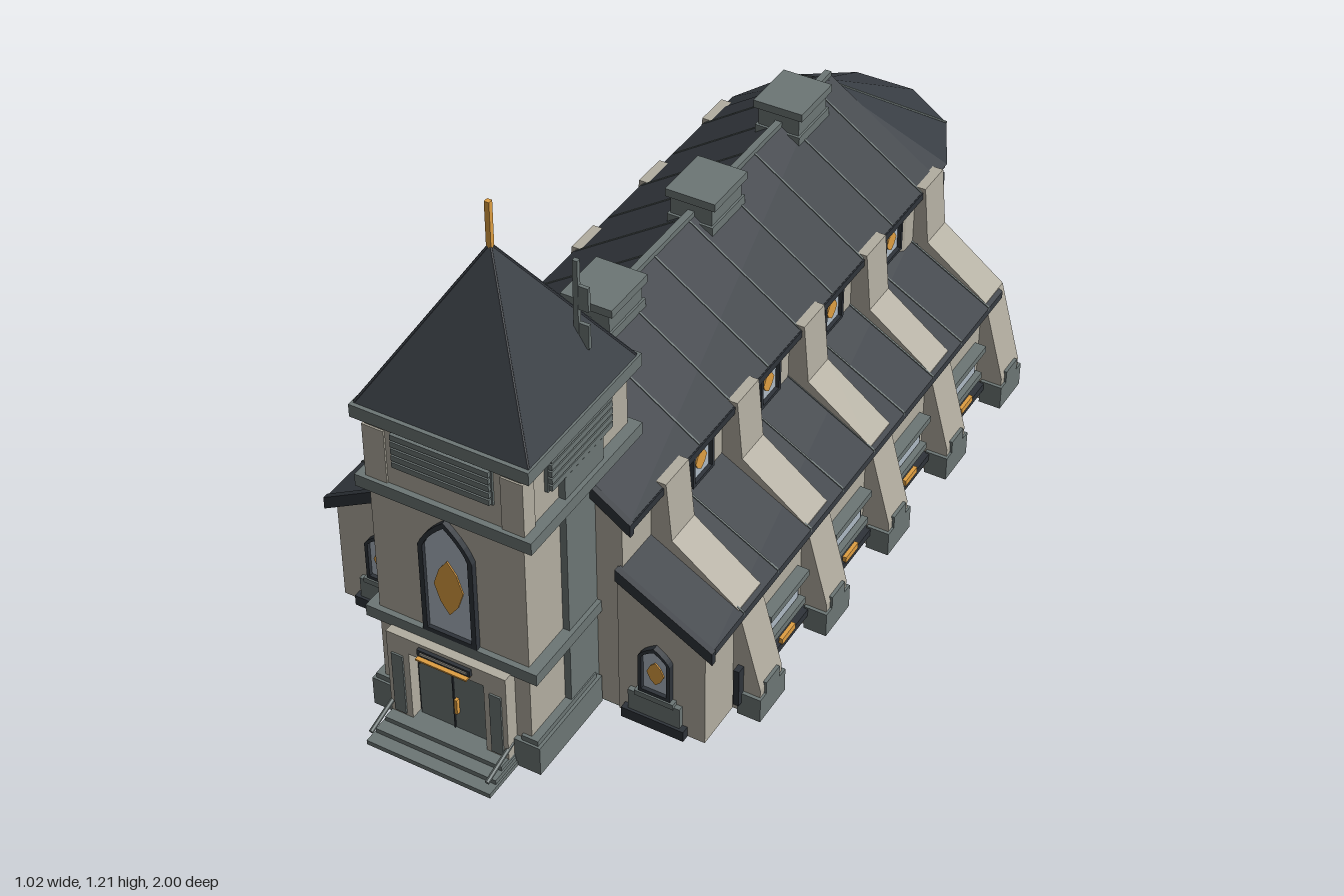
import * as THREE from 'three';

const mat = (name, color) => {
  const m = new THREE.MeshStandardMaterial({ color });
  m.name = name;
  return m;
};

export function createModel() {
  const stone = mat('pale stone', 0xb2ada0), grey = mat('grey stone', 0x6c7675);
  const slate = mat('slate', 0x383d43), dark = mat('dark trim', 0x2e3339);
  const glass = mat('glass', 0xaeb9c4), gold = mat('gold', 0xde9e42);
  const green = mat('green base', 0x2c8c6c);
  const church = new THREE.Group();
  church.name = 'church';

  // Helpers: faceted mesh, box by limits, prism along z, bar between points
  const add = (name, geo, m, parent = church) => {
    const g = geo.index ? geo.toNonIndexed() : geo;
    g.computeVertexNormals();
    const mesh = new THREE.Mesh(g, m);
    mesh.name = name;
    parent.add(mesh);
    return mesh;
  };
  const box = (name, m, x0, x1, y0, y1, z0, z1, parent) => {
    const g = new THREE.BoxGeometry(Math.abs(x1 - x0), y1 - y0, Math.abs(z1 - z0));
    return add(name, g.translate((x0 + x1) / 2, (y0 + y1) / 2, (z0 + z1) / 2), m, parent);
  };
  const prism = (name, m, pts, z0, z1, parent) => {
    const shape = new THREE.Shape(pts.map(([x, y]) => new THREE.Vector2(x, y)));
    const g = new THREE.ExtrudeGeometry(shape, { depth: z1 - z0, bevelEnabled: false });
    return add(name, g.translate(0, 0, z0), m, parent);
  };
  const bar = (name, m, a, b, r) => {
    const p = new THREE.Vector3(...a), q = new THREE.Vector3(...b);
    const mesh = add(name, new THREE.CylinderGeometry(r, r, p.distanceTo(q), 6), m);
    mesh.position.copy(p).add(q).multiplyScalar(0.5);
    mesh.quaternion.setFromUnitVectors(new THREE.Vector3(0, 1, 0), q.clone().sub(p).normalize());
  };

  // Pointed arch outline standing on y = 0
  const arch = (w, h, inset, Type) => {
    const x = w / 2 - inset, spring = h * 0.74, top = h - inset * 1.3;
    const s = new Type();
    s.moveTo(-x, inset);
    s.lineTo(x, inset);
    s.lineTo(x, spring);
    s.quadraticCurveTo(x * 0.75, spring + (top - spring) * 0.5, 0, top);
    s.quadraticCurveTo(-x * 0.75, spring + (top - spring) * 0.5, -x, spring);
    s.closePath();
    return s;
  };
  const archOpening = (name, w, h, x, y, z, turn, fill, t) => {
    const g = new THREE.Group();
    g.name = name;
    g.position.set(x, y, z);
    g.rotation.y = turn;
    church.add(g);
    const outer = arch(w, h, 0, THREE.Shape);
    outer.holes.push(arch(w, h, t, THREE.Path));
    add('frame', new THREE.ExtrudeGeometry(outer, { depth: 0.014, bevelEnabled: false, curveSegments: 5 }), dark, g);
    const pane = new THREE.ExtrudeGeometry(arch(w, h, t * 0.9, THREE.Shape),
      { depth: 0.005, bevelEnabled: false, curveSegments: 5 });
    add('pane', pane, fill, g);
    return g;
  };
  // Lancet window with a gold diamond
  const lancet = (w, h, x, y, z, turn, t = 0.008) => {
    const g = archOpening('lancetWindow', w, h, x, y, z, turn, glass, t);
    const c = h * 0.43, r = h * 0.23, e = w * 0.27;
    prism('goldDiamond', gold, [[0, c - r], [e * 0.6, c - r * 0.6], [e, c], [e * 0.6, c + r * 0.6],
      [0, c + r], [-e * 0.6, c + r * 0.6], [-e, c], [-e * 0.6, c - r * 0.6]], 0.003, 0.008, g);
  };

  // Green floor plates under nave, aisles and tower
  box('naveFloor', green, -0.238, 0.238, 0, 0.0015, -0.66, 0.655);
  box('towerFloor', green, -0.165, 0.165, 0, 0.0015, 0.67, 0.875);

  // Nave with gabled roof
  prism('nave', stone, [[-0.25, 0.001], [0.25, 0.001], [0.25, 0.525], [0, 0.69], [-0.25, 0.525]], -0.665, 0.655);
  box('ridge', grey, -0.008, 0.008, 0.7, 0.718, -0.67, 0.5);

  const bays = [0.355, 0.07, -0.215, -0.5];
  const buttresses = [0.5, 0.213, -0.075, -0.362, -0.648];
  for (const s of [1, -1]) {
    // Sloping roof slabs with raised seams
    const slab = (name, m, x0, y0, x1, y1, t, z0, z1) =>
      prism(name, m, [[s * x0, y0], [s * x1, y1], [s * x1, y1 - t], [s * x0, y0 - t]], z0, z1);
    slab('naveRoof', slate, 0, 0.711, 0.277, 0.523, 0.022, -0.672, 0.67);
    slab('aisleRoof', slate, 0.245, 0.391, 0.46, 0.27, 0.018, -0.672, 0.67);
    slab('naveVerge', dark, 0.15, 0.612, 0.28, 0.523, 0.03, 0.66, 0.674);
    slab('aisleVerge', dark, 0.243, 0.393, 0.463, 0.27, 0.03, 0.66, 0.674);
    for (let z = -0.6; z < 0.66; z += 0.1425) {
      if (z < 0.48) slab('roofSeam', grey, 0, 0.7135, 0.277, 0.5255, 0.01, z - 0.002, z + 0.002);
      slab('roofSeam', grey, 0.25, 0.391, 0.46, 0.2725, 0.01, z - 0.002, z + 0.002);
    }
    box('naveGutter', dark, s * 0.268, s * 0.28, 0.505, 0.522, -0.672, 0.67);

    // Side aisle
    box('aisleFloor', green, s * 0.256, s * 0.435, 0, 0.0015, -0.655, 0.655);
    prism('aisle', stone, [[s * 0.24, 0.001], [s * 0.44, 0.001], [s * 0.44, 0.264], [s * 0.24, 0.375]], -0.66, 0.66);

    // Stepped buttresses with grey feet
    for (const z of buttresses) {
      prism('buttress', stone, [[s * 0.24, 0.002], [s * 0.24, 0.533], [s * 0.285, 0.533], [s * 0.298, 0.392],
        [s * 0.45, 0.277], [s * 0.503, 0.08], [s * 0.503, 0.002]], z - 0.045, z + 0.045);
      box('buttressFoot', grey, s * 0.455, s * 0.508, 0, 0.06, z - 0.053, z + 0.053);
      box('buttressFootCap', grey, s * 0.455, s * 0.508, 0.06, 0.09, z - 0.028, z + 0.028);
    }
    box('cornerPost', dark, s * 0.452, s * 0.465, 0.035, 0.13, 0.546, 0.566);

    // Bays: clerestory lancet, aisle window and ledge
    for (const z of bays) {
      lancet(0.085, 0.108, s * 0.249, 0.4, z, s * Math.PI / 2);
      box('windowFrame', dark, s * 0.435, s * 0.45, 0.1, 0.162, z - 0.07, z + 0.07);
      box('windowGlass', glass, s * 0.449, s * 0.453, 0.108, 0.156, z - 0.062, z + 0.062);
      box('lintel', grey, s * 0.435, s * 0.468, 0.16, 0.176, z - 0.082, z + 0.082);
      box('sill', grey, s * 0.435, s * 0.465, 0.088, 0.104, z - 0.075, z + 0.075);
      box('ledge', dark, s * 0.435, s * 0.464, 0.038, 0.056, z - 0.098, z + 0.098);
      box('goldPlaque', gold, s * 0.458, s * 0.467, 0.054, 0.069, z - 0.028, z + 0.028);
    }

    // Aisle front window and planter
    lancet(0.074, 0.13, s * 0.33, 0.09, 0.66, 0);
    box('planter', grey, s * 0.268, s * 0.388, 0.025, 0.078, 0.655, 0.672);
    box('planterRim', grey, s * 0.285, s * 0.375, 0.075, 0.088, 0.655, 0.676);
    box('planterBase', dark, s * 0.255, s * 0.4, 0, 0.026, 0.655, 0.678);
  }

  // Ridge vents
  for (const z of [0.3, -0.115, -0.5]) {
    box('ventBase', grey, -0.055, 0.055, 0.66, 0.695, z - 0.07, z + 0.07);
    box('ventBody', grey, -0.05, 0.05, 0.695, 0.738, z - 0.064, z + 0.064);
    box('ventLid', grey, -0.06, 0.06, 0.738, 0.757, z - 0.07, z + 0.07);
  }

  // Twelve-sided apse with conical roof
  const cz = -0.645, rx = 0.27, rz = 0.325;
  const apse = (name, m, geo, kx, kz, y) =>
    add(name, geo.rotateY(Math.PI / 12).scale(kx, 1, kz).translate(0, y, cz), m);
  apse('apseFloor', green, new THREE.CylinderGeometry(1, 1, 0.0015, 12), rx - 0.008, rz - 0.008, 0.00075);
  apse('apseWall', stone, new THREE.CylinderGeometry(1, 1, 0.519, 12), rx, rz, 0.2605);
  apse('apseEave', dark, new THREE.CylinderGeometry(1, 1, 0.01, 12), rx + 0.012, rz + 0.008, 0.517);
  apse('apseRoof', slate, new THREE.ConeGeometry(1, 0.19, 12), rx + 0.016, rz + 0.011, 0.616);
  for (const deg of [45, 135]) {
    const a = THREE.MathUtils.degToRad(deg);
    bar('apseRib', grey, [0, 0.71, cz],
      [Math.cos(a) * (rx + 0.016), 0.522, cz - Math.sin(a) * (rz + 0.011)], 0.003);
  }
  // Apse windows: face angle and slide along the face
  for (const [deg, slide] of [[0, 0], [30, 0], [60, 0.1], [120, -0.1], [150, 0], [180, 0]]) {
    const a = THREE.MathUtils.degToRad(deg), c = Math.cos(a), n = Math.sin(a);
    lancet(0.09, 0.26, rx * (0.966 * c - slide * n), 0.18, cz - rz * (0.966 * n + slide * c),
      Math.atan2(rz * c, -rx * n));
  }

  // Back door with hood and step
  box('backDoorHood', dark, -0.055, 0.055, 0.01, 0.112, -0.982, -0.95);
  const back = archOpening('backDoor', 0.11, 0.14, 0, 0.01, -0.982, Math.PI, slate, 0.012);
  for (const s of [1, -1]) box('backDoorHandle', gold, s * 0.004, s * 0.014, 0.04, 0.1, 0.004, 0.012, back);
  box('backLamp', gold, -0.028, 0.028, 0.142, 0.15, -0.01, 0.016, back);
  box('backStep', grey, -0.16, 0.16, 0, 0.03, -0.992, -0.95);

  // Tower shaft, bands and side pilasters
  box('towerShaft', stone, -0.175, 0.175, 0.001, 0.77, 0.505, 0.885);
  for (const [y0, y1] of [[0.247, 0.275], [0.588, 0.617], [0.76, 0.79]])
    box('towerBand', grey, -0.2, 0.2, y0, y1, 0.49, 0.898);
  for (const s of [1, -1]) {
    box('towerPilaster', grey, s * 0.17, s * 0.19, 0.05, 0.67, 0.62, 0.76);
    box('towerFoot', grey, s * 0.14, s * 0.2, 0, 0.072, 0.66, 0.897);
    box('towerFootCap', grey, s * 0.155, s * 0.193, 0.072, 0.085, 0.67, 0.892);
    box('belfryCorner', stone, s * 0.13, s * 0.18, 0.617, 0.745, 0.85, 0.889);
  }

  // Belfry louvres on all four sides
  for (let k = 0; k < 4; k++) {
    const g = new THREE.Group(), reach = k % 2 ? 0.178 : 0.19;
    g.name = 'louvre';
    g.position.z = 0.695;
    g.rotation.y = k * Math.PI / 2;
    church.add(g);
    box('louvrePanel', grey, -0.113, 0.113, 0.668, 0.757, reach - 0.01, reach + 0.005, g);
    for (let i = 0; i < 5; i++)
      box('louvreSlat', grey, -0.11, 0.11, 0.672 + i * 0.017, 0.685 + i * 0.017, reach, reach + 0.013, g);
  }

  // Tower roof, spire and side mast
  add('towerRoof', new THREE.ConeGeometry(0.195 * Math.SQRT2, 0.32, 4).rotateY(Math.PI / 4).translate(0, 0.95, 0.694), slate);
  for (const [x, z] of [[1, 1], [1, -1], [-1, 1], [-1, -1]])
    bar('roofHip', slate, [0, 1.108, 0.694], [x * 0.193, 0.792, 0.694 + z * 0.193], 0.003);
  box('spire', gold, -0.0055, 0.0055, 1.09, 1.205, 0.6885, 0.6995);
  box('mast', grey, 0.123, 0.134, 0.84, 1.062, 0.6, 0.61);
  box('mastPlate', grey, 0.13, 0.156, 0.95, 1.005, 0.601, 0.609);
  box('mastPlate', grey, 0.13, 0.156, 0.862, 0.918, 0.601, 0.609);

  // Great front window
  lancet(0.125, 0.305, 0, 0.275, 0.884, 0, 0.011);

  // Entrance: portal, double door, sign and steps
  for (const s of [1, -1]) {
    box('portalPier', stone, s * 0.088, s * 0.14, 0.03, 0.212, 0.88, 0.918);
    box('pierPanel', grey, s * 0.102, s * 0.129, 0.04, 0.198, 0.915, 0.922);
    bar('stepRail', grey, [s * 0.138, 0.035, 0.995], [s * 0.138, 0.062, 0.9], 0.005);
  }
  box('portalLintel', stone, -0.14, 0.14, 0.21, 0.25, 0.88, 0.918);
  box('portalBack', dark, -0.09, 0.09, 0.03, 0.212, 0.88, 0.89);
  prism('door', grey, [[-0.082, 0.03], [0.082, 0.03], [0.082, 0.165], [0.052, 0.208], [-0.052, 0.208], [-0.082, 0.165]], 0.888, 0.896);
  box('doorSeam', dark, -0.0015, 0.0015, 0.03, 0.208, 0.894, 0.899);
  box('doorHandle', gold, 0.005, 0.012, 0.08, 0.118, 0.894, 0.905);
  box('signBoard', dark, -0.062, 0.062, 0.226, 0.242, 0.91, 0.926);
  box('signLine', stone, -0.055, 0.055, 0.231, 0.237, 0.924, 0.928);
  box('signLamp', gold, -0.06, 0.06, 0.222, 0.226, 0.918, 0.936);
  for (let i = 0; i < 3; i++) {
    const w = 0.147 - i * 0.004;
    box('step', grey, -w, w, i * 0.011, (i + 1) * 0.011, 0.87, 1 - i * 0.028);
  }
  return church;
}
